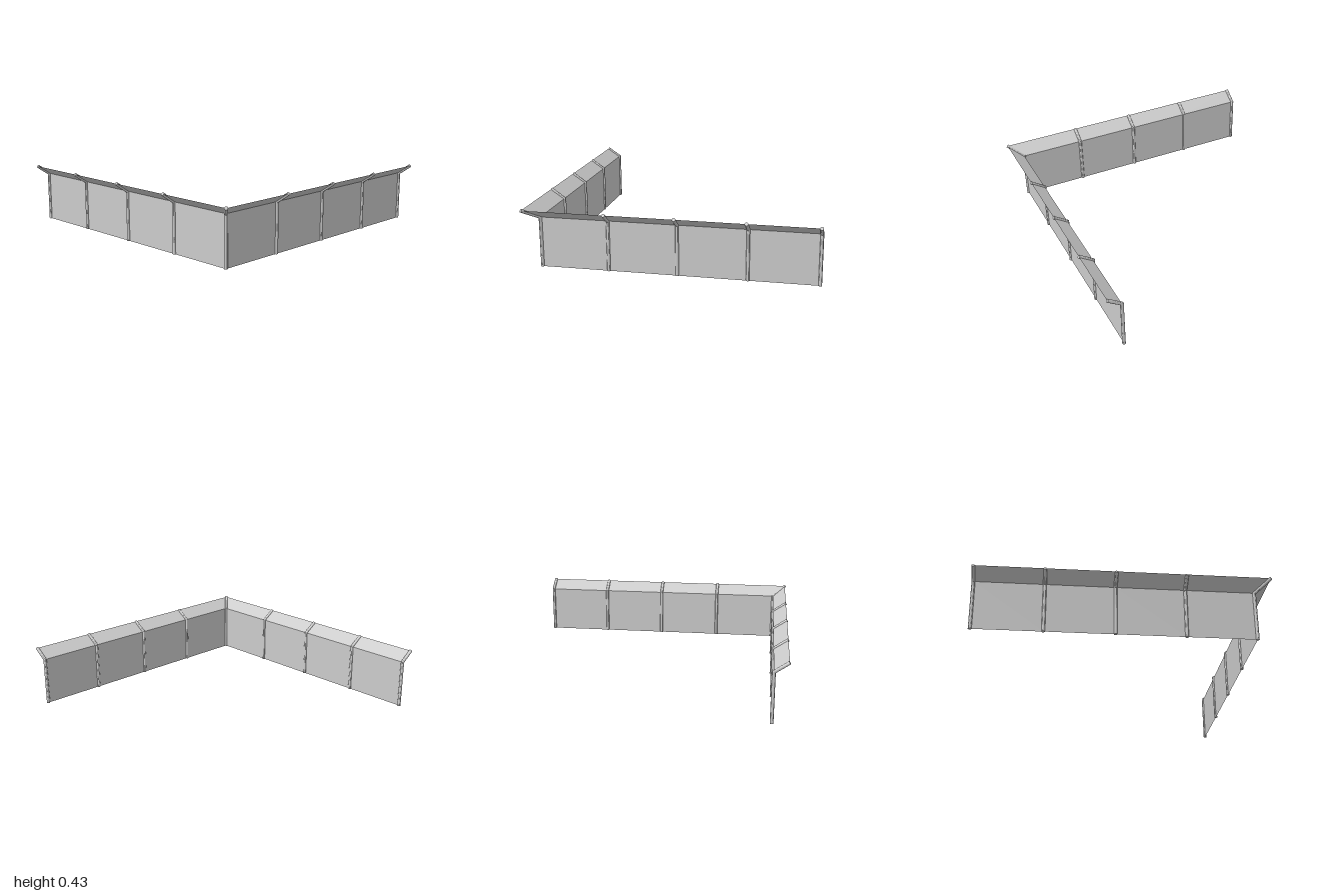
import * as THREE from 'three';
import { toCreasedNormals } from 'three/addons/utils/BufferGeometryUtils.js';

const LINE = 0.893;    // distance of both fence runs from the centre
const REACH = 0.99;    // outer edge of the overhang
const BEND_Y = 0.35;   // height where the fence bends outward
const TOP_Y = 0.416;   // height of the overhang's edge
const RADIUS = 0.012;
const BAYS = 4;
const BAY = 0.47;

const grey = new THREE.MeshStandardMaterial({ color: 0xcccccc });
const sheet = new THREE.MeshStandardMaterial({ color: 0xcccccc, side: THREE.DoubleSide });

// Round post, upright then bent toward local +z with a mitred joint
function postGeometry(out) {
  const rise = TOP_Y - BEND_Y;
  const angle = Math.atan2(out, rise);
  const geo = new THREE.CylinderGeometry(RADIUS, RADIUS, 2, 12, 2);
  const pos = geo.attributes.position;
  for (let i = 0; i < pos.count; i++) {
    const row = Math.round(pos.getY(i)) + 1;
    const z = pos.getZ(i);
    if (row === 0) pos.setY(i, 0);
    else if (row === 1) pos.setY(i, BEND_Y - z * Math.tan(angle / 2));
    else {
      pos.setY(i, TOP_Y - z * Math.sin(angle));
      pos.setZ(i, out + z * Math.cos(angle));
    }
  }
  return toCreasedNormals(geo, 0.8);
}

// One bay of thin sheet: upright panel plus sloping overhang, mitred at the corner
function panelGeometry(x0, x1, atCorner, side) {
  const geo = new THREE.PlaneGeometry(1, 2, 1, 2);
  const pos = geo.attributes.position;
  for (let i = 0; i < pos.count; i++) {
    const row = Math.round(pos.getY(i)) + 1;
    const start = pos.getX(i) < 0;
    let x = start ? x0 : x1;
    if (row === 2 && start && atCorner) x = -REACH;
    const z = row === 2 ? REACH : LINE;
    const y = [0, BEND_Y, TOP_Y][row];
    if (side) pos.setXYZ(i, -z, y, -x);
    else pos.setXYZ(i, x, y, z);
  }
  const flat = geo.toNonIndexed();
  flat.computeVertexNormals();
  return flat;
}

export function createModel() {
  const model = new THREE.Group();
  model.name = 'cornerFence';

  const addPost = (geo, name, x, z, turn) => {
    const post = new THREE.Mesh(geo, grey);
    post.name = name;
    post.position.set(x, 0, z);
    post.rotation.y = turn;
    model.add(post);
  };

  // Corner post leans out along the diagonal
  const out = REACH - LINE;
  addPost(postGeometry(out * Math.SQRT2), 'cornerPost', -LINE, LINE, -Math.PI / 4);

  // Front run and side run, each four bays long
  const post = postGeometry(out);
  for (let i = 0; i < BAYS; i++) {
    const x0 = -LINE + i * BAY;
    const x1 = x0 + BAY;
    addPost(post, 'frontPost', x1, LINE, 0);
    addPost(post, 'sidePost', -LINE, -x1, -Math.PI / 2);
    for (const side of [false, true]) {
      const panel = new THREE.Mesh(panelGeometry(x0, x1, i === 0, side), sheet);
      panel.name = side ? 'sidePanel' : 'frontPanel';
      model.add(panel);
    }
  }
  return model;
}
